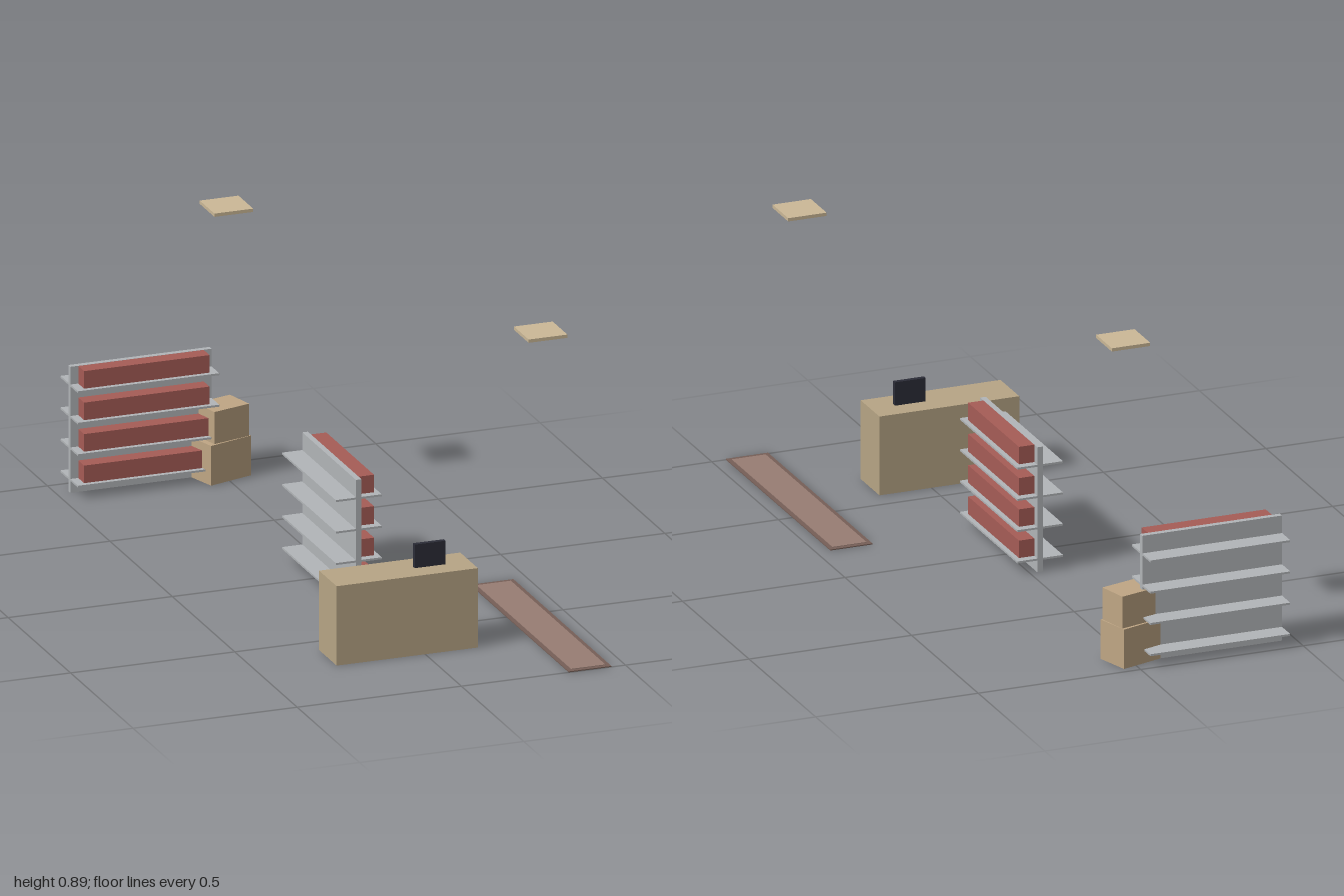
import * as THREE from 'three';

const mat = (name, color) => {
  const m = new THREE.MeshStandardMaterial({ color });
  m.name = name;
  return m;
};

export function createModel() {
  const metal = mat('shelf grey', 0xb2b5b8);
  const red = mat('goods red', 0xa65c56);
  const wood = mat('counter tan', 0xb7a585);
  const card = mat('cardboard', 0xbfa684);
  const panel = mat('ceiling panel cream', 0xcbb897);
  const dark = mat('screen dark', 0x2b2c37);
  const rugEdge = mat('rug border brown', 0x765f57);
  const rugField = mat('rug field brown', 0x987d73);

  const root = new THREE.Group();
  root.name = 'shopInterior';

  // Box given its centre in x and z and its bottom in y
  const box = (parent, name, m, w, h, d, x, y, z) => {
    const mesh = new THREE.Mesh(new THREE.BoxGeometry(w, h, d), m);
    mesh.name = name;
    mesh.position.set(x, y + h / 2, z);
    parent.add(mesh);
    return mesh;
  };

  // Shelf unit: upright panel, boards through it, goods on the front (+z) side
  const shelf = (name, x, z, turn) => {
    const g = new THREE.Group();
    g.name = name;
    box(g, 'backPanel', metal, 0.43, 0.381, 0.017, 0, 0, 0);
    for (let i = 0; i < 4; i++) {
      const y = 0.036 + i * 0.0952;
      box(g, 'board', metal, 0.43, 0.006, 0.14, 0, y, 0);
      box(g, 'goods', red, 0.382, 0.053, 0.048, 0, y + 0.006, 0.0315);
    }
    g.position.set(x, 0, z);
    g.rotation.y = turn;
    root.add(g);
  };
  shelf('backShelf', -0.245, -0.93, 0);
  shelf('middleShelf', -0.031, 0.045, Math.PI / 2);

  // Stacked cartons, slightly turned
  box(root, 'lowerCarton', card, 0.144, 0.12, 0.105, -0.011, 0, -0.907).rotation.y = 0.3;
  box(root, 'upperCarton', card, 0.122, 0.097, 0.094, -0.003, 0.12, -0.908).rotation.y = 0.26;

  // Counter with a screen
  box(root, 'counter', wood, 0.43, 0.24, 0.141, -0.055, 0, 0.641);
  box(root, 'screen', dark, 0.094, 0.071, 0.014, 0.039, 0.24, 0.641);

  // Ceiling panels
  for (const [x, z] of [[-0.067, -0.705], [0.391, 0.607]]) {
    box(root, 'ceilingPanel', panel, 0.118, 0.01, 0.118, x, 0.884, z);
  }

  // Rug with a border
  box(root, 'rugBorder', rugEdge, 0.13, 0.003, 0.785, 0.392, 0, 0.6075);
  box(root, 'rugField', rugField, 0.104, 0.0015, 0.757, 0.392, 0.003, 0.6075);

  return root;
}
